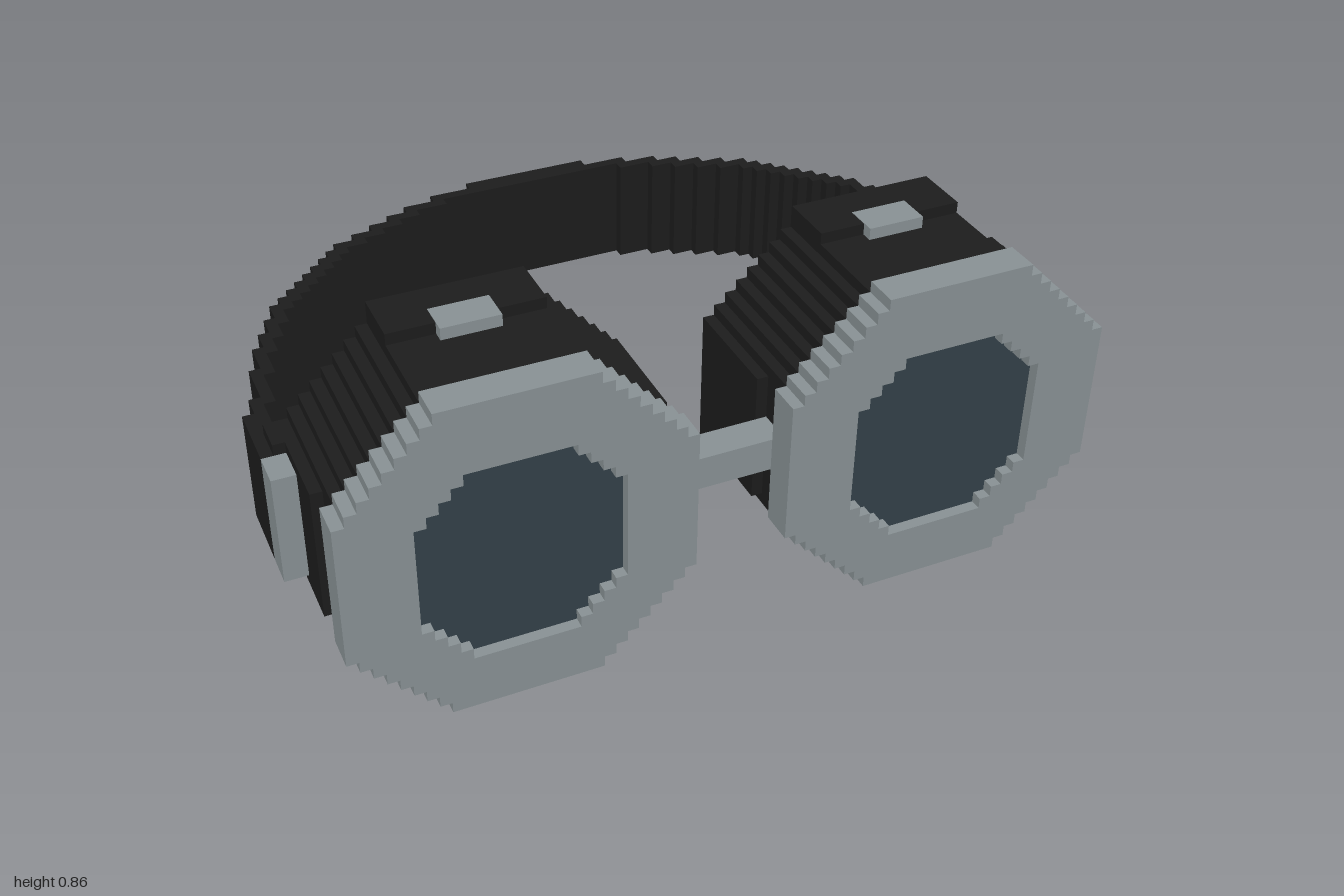
import * as THREE from 'three';

const U = 1 / 35; // size of one block

export function createModel() {
  const model = new THREE.Group();
  model.name = 'goggles';
  const mat = (name, color) => {
    const m = new THREE.MeshStandardMaterial({ color });
    m.name = name;
    return m;
  };
  const black = mat('black rubber', 0x1c1c1c);
  const grey = mat('grey metal', 0x889194);
  const glass = mat('dark glass', 0x334048);

  const add = (parent, name, geometry, material) => {
    const mesh = new THREE.Mesh(geometry, material);
    mesh.name = name;
    parent.add(mesh);
    return mesh;
  };

  // Box given by its limits in blocks
  const box = (parent, name, material, x0, x1, y0, y1, z0, z1) => {
    const g = new THREE.BoxGeometry(Math.abs(x1 - x0) * U, (y1 - y0) * U, (z1 - z0) * U);
    g.translate((x0 + x1) / 2 * U, (y0 + y1) / 2 * U, (z0 + z1) / 2 * U);
    return add(parent, name, g, material);
  };

  // Rows [xInner, xOuter] of an octagon with stepped corners
  const octagon = (x0, x1, height, cut) => Array.from({ length: height }, (_, j) => {
    const c = Math.max(0, cut - j, cut - (height - 1 - j));
    return [x0 + c, x1 - c];
  });

  // Stepped counter-clockwise outline around a stack of rows
  const outline = (rows, y0, side) => {
    const up = [], down = [];
    rows.forEach(([a, b], j) => {
      const last = rows[j - 1], next = rows[j + 1];
      for (const [list, x, k] of [[up, b, 1], [down, a, 0]]) {
        if (!last || last[k] !== x) list.push(new THREE.Vector2(side * x * U, (y0 + j) * U));
        if (!next || next[k] !== x) list.push(new THREE.Vector2(side * x * U, (y0 + j + 1) * U));
      }
    });
    const loop = [...up, ...down.reverse()];
    return side > 0 ? loop : loop.reverse();
  };

  const lensRows = octagon(10, 27, 18, 4);
  const slab = (parent, name, material, rows, y0, z0, z1, side, hollow = true) => {
    const shape = new THREE.Shape(outline(rows, y0, side));
    if (hollow) shape.holes.push(new THREE.Path(outline(lensRows, 6, side)));
    const g = new THREE.ExtrudeGeometry(shape, { depth: (z1 - z0) * U, bevelEnabled: false });
    g.translate(0, 0, z0 * U);
    return add(parent, name, g, material);
  };

  // Rear rim drops one block lower, most visibly at its inner corner
  const rearRows = Array.from({ length: 30 }, (_, j) => {
    const top = 8 - Math.max(0, 28 - j);
    return [4 + Math.max(0, top, 8 - j), 33 - Math.max(0, top, 8 - Math.max(0, j - 1))];
  });

  for (const side of [1, -1]) {
    const cup = new THREE.Group();
    cup.name = side > 0 ? 'leftEyeCup' : 'rightEyeCup';
    model.add(cup);
    slab(cup, 'rearRim', black, rearRows, 0, 8, 13, side);
    slab(cup, 'cupBody', black, octagon(4, 33, 28, 8), 1, 13, 18, side);
    slab(cup, 'cupNeck', black, octagon(5, 32, 28, 7), 1, 18, 21, side);
    slab(cup, 'lensRing', grey, octagon(4, 33, 29, 8), 1, 21, 24, side);
    slab(cup, 'lens', glass, lensRows, 6, 22, 23, side, false);
    box(cup, 'topClip', grey, side * 16, side * 21, 28.5, 30.05, 11, 14);
    box(cup, 'strapMount', black, side * 33, side * 34, 9, 21, 8, 11);
    box(cup, 'strapClip', grey, side * 33, side * 35, 10, 20, 11, 14);
  }

  // Bridge between the cups
  box(model, 'noseBridge', grey, -5, 5, 14, 17, 18, 21);

  // Head strap: a half ellipse in one-block steps
  const strap = new THREE.Group();
  strap.name = 'headStrap';
  model.add(strap);
  const reach = (k) => Math.floor(34.3 * Math.sqrt(1 - ((k - 6.5) / 31) ** 2));
  box(strap, 'strapBack', black, -6, 6, 10, 20, -24, -22);
  for (const side of [1, -1]) {
    for (let k = -23; k < 5; k++) {
      const inner = reach(k - 1) - 1;
      box(strap, 'strapStep', black, side * inner, side * reach(k), 10, 20, k, k + 1);
    }
    box(strap, 'strapEnd', black, side * 33, side * 35, 10, 20, 5, 11);
  }
  return model;
}
